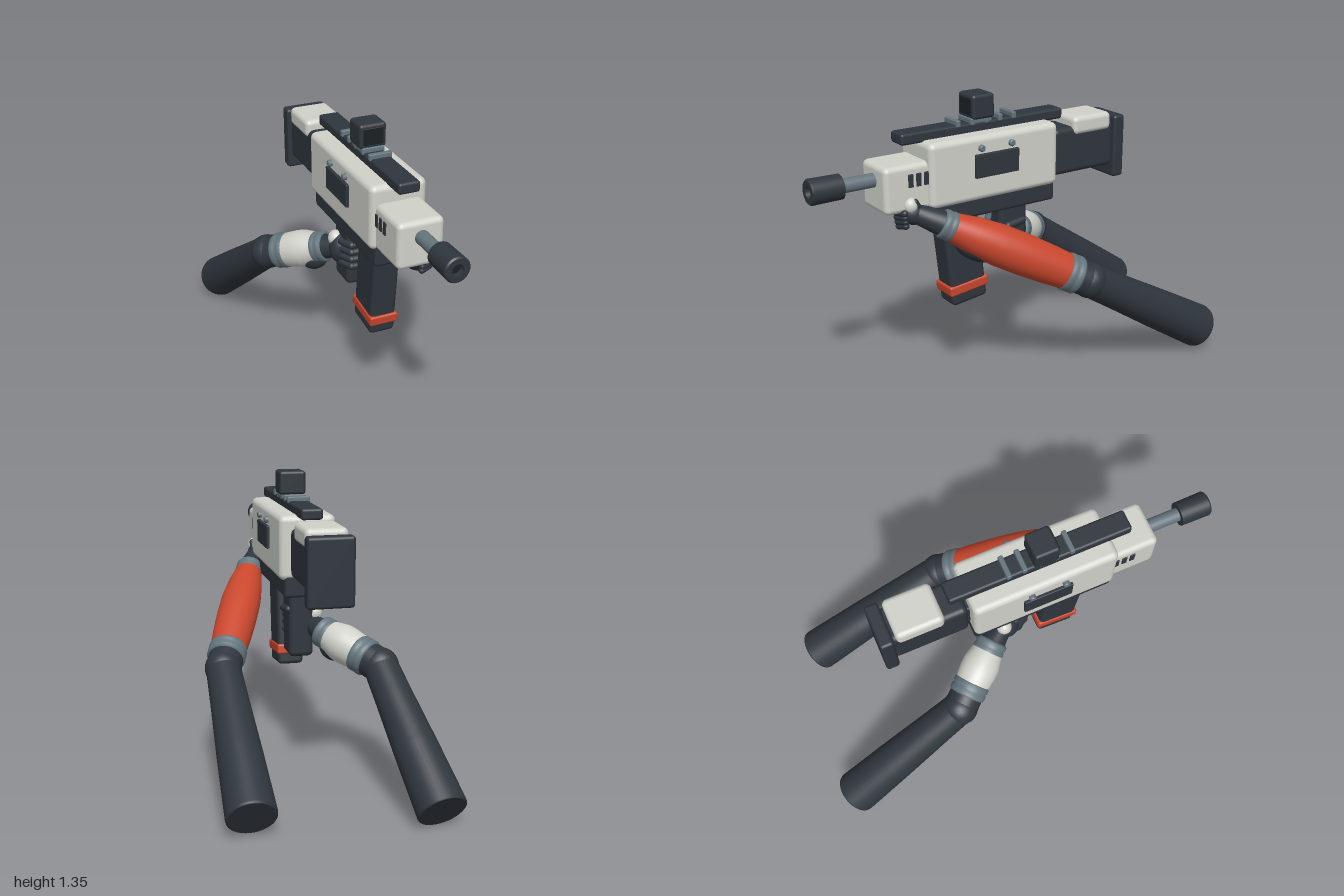
import * as THREE from 'three';
import { RoundedBoxGeometry } from 'three/addons/geometries/RoundedBoxGeometry.js';

const mat = (name, color) => {
  const m = new THREE.MeshStandardMaterial({ color });
  m.name = name;
  return m;
};
const V = (x, y, z) => new THREE.Vector3(x, y, z);
const UP = V(0, 1, 0);

export function createModel() {
  const root = new THREE.Group();
  root.name = 'rifleWithArms';
  const dark = mat('charcoal', 0x2f363d);
  const white = mat('offWhite', 0xd0d2ca);
  const red = mat('orangeRed', 0xc9472d);
  const steel = mat('steelGrey', 0x65757d);
  const black = mat('black', 0x1c2024);

  const add = (parent, name, geo, material) => {
    const m = new THREE.Mesh(geo, material);
    m.name = name;
    parent.add(m);
    return m;
  };
  // Rounded box given by its limits on each axis
  const box = (parent, name, material, [x0, x1], [y0, y1], [z0, z1], r = 0.02) => {
    const m = add(parent, name, new RoundedBoxGeometry(x1 - x0, y1 - y0, z1 - z0, 3, r), material);
    m.position.set((x0 + x1) / 2, (y0 + y1) / 2, (z0 + z1) / 2);
    return m;
  };
  // Turned shape from a to b; profile is [fraction along, radius]
  const limb = (parent, name, material, a, b, profile) => {
    const d = b.clone().sub(a), len = d.length();
    const pts = profile.map(([t, r]) => new THREE.Vector2(r, t * len));
    const m = add(parent, name, new THREE.LatheGeometry(pts, 36), material);
    m.position.copy(a);
    m.quaternion.setFromUnitVectors(UP, d.normalize());
    return m;
  };
  // Ellipsoid whose long axis follows dir
  const blob = (parent, name, material, p, r, half, dir = UP) => {
    const m = add(parent, name, new THREE.SphereGeometry(1, 24, 16), material);
    m.scale.set(r, half, r);
    m.position.copy(p);
    m.quaternion.setFromUnitVectors(UP, dir.clone().normalize());
    return m;
  };
  const capsule = (parent, name, material, a, b, r) => {
    const d = b.clone().sub(a);
    const m = add(parent, name, new THREE.CapsuleGeometry(r, d.length(), 6, 14), material);
    m.position.copy(a).add(b).multiplyScalar(0.5);
    m.quaternion.setFromUnitVectors(UP, d.normalize());
    return m;
  };

  // ---- Rifle ----
  const gun = new THREE.Group();
  gun.name = 'rifle';
  root.add(gun);
  const cx = -0.011;
  const wide = (w) => [cx - w / 2, cx + w / 2];
  box(gun, 'receiver', white, wide(0.256), [0.915, 1.205], [-0.17, 0.5], 0.028);
  box(gun, 'lowerReceiver', dark, wide(0.21), [0.835, 0.95], [-0.167, 0.5], 0.015);
  box(gun, 'handguard', white, wide(0.208), [0.92, 1.128], [0.42, 0.705], 0.025);
  const barrelAt = (z) => V(cx, 1.058, z);
  limb(gun, 'barrel', steel, barrelAt(0.65), barrelAt(0.88), [[0, 0.031], [1, 0.031]]);
  limb(gun, 'muzzle', dark, barrelAt(0.857), barrelAt(1),
    [[0, 0], [0, 0.054], [0, 0.054], [0.95, 0.056], [0.95, 0.056], [1, 0.05], [1, 0.05], [1, 0.026], [1, 0.026], [0.8, 0.024]]);
  limb(gun, 'bore', black, barrelAt(0.96), barrelAt(0.975), [[0, 0.025], [1, 0.025], [1, 0.025], [1, 0]]);

  // Top rail, cross slats and sight
  box(gun, 'topRail', dark, wide(0.097), [1.195, 1.245], [-0.25, 0.59], 0.012);
  for (let i = 0; i < 5; i++) {
    const z = 0.02 + i * 0.0725;
    box(gun, 'railSlat', steel, wide(0.105), [1.235, 1.265], [z - 0.011, z + 0.011], 0.005);
  }
  box(gun, 'sightMount', steel, wide(0.105), [1.24, 1.27], [0.14, 0.23], 0.006);
  box(gun, 'sight', dark, wide(0.124), [1.258, 1.367], [0.13, 0.243], 0.014);
  box(gun, 'sightLens', black, wide(0.092), [1.275, 1.35], [0.238, 0.246], 0.003);

  // Stock
  box(gun, 'stock', dark, wide(0.168), [0.935, 1.155], [-0.53, -0.18], 0.025);
  box(gun, 'stockNeck', dark, wide(0.13), [0.97, 1.12], [-0.22, -0.15], 0.01);
  box(gun, 'cheekRest', white, wide(0.188), [1.115, 1.2], [-0.507, -0.288], 0.024);
  box(gun, 'buttPad', dark, wide(0.205), [0.878, 1.178], [-0.582, -0.52], 0.014);

  // Leaning magazine with its band
  const mag = new THREE.Group();
  mag.name = 'magazine';
  mag.position.set(cx, 0.65, 0.292);
  mag.rotation.x = 0.11;
  gun.add(mag);
  box(mag, 'magazineBody', dark, [-0.061, 0.061], [-0.235, 0.24], [-0.092, 0.092], 0.02);
  box(mag, 'magazineBand', red, [-0.067, 0.067], [-0.182, -0.134], [-0.102, 0.102], 0.01);

  // Pistol grip and trigger
  box(gun, 'pistolGrip', dark, wide(0.115), [0.525, 0.85], [-0.05, 0.1], 0.025);
  const trigger = box(gun, 'trigger', steel, wide(0.03), [0.765, 0.845], [0.115, 0.138], 0.008);
  trigger.rotation.x = -0.15;

  // Mirrored side panels, bolts and vents
  for (const s of [1, -1]) {
    const span = (a, b) => (s > 0 ? [cx + a, cx + b] : [cx - b, cx - a]);
    box(gun, 'sidePanel', dark, span(0.12, 0.142), [1.022, 1.127], [0.055, 0.28], 0.004);
    for (const z of [0.09, 0.247]) {
      limb(gun, 'bolt', steel, V(cx + s * 0.12, 1.153, z), V(cx + s * 0.146, 1.153, z),
        [[0, 0.015], [0.8, 0.015], [0.8, 0.015], [1, 0.011], [1, 0.011], [1, 0]]);
    }
    for (const z of [0.507, 0.545, 0.583]) {
      box(gun, 'vent', dark, span(0.1, 0.109), [1.03, 1.088], [z - 0.012, z + 0.012], 0.003);
    }
  }

  // ---- Arms ----
  const cuffProfile = (r) => [[0, r * 0.8], [0.02, r * 0.93], [0.15, r], [0.4, r], [0.5, r * 0.93],
    [0.6, r], [0.85, r], [0.98, r * 0.93], [1, r * 0.8]];
  const arm = (name, sleeve, { wrist, elbow, end, hand, wristR, foreR, elbowR, pad }) => {
    const g = new THREE.Group();
    g.name = name;
    root.add(g);
    const dir = elbow.clone().sub(wrist), len = dir.length();
    dir.normalize();
    const at = (d) => wrist.clone().addScaledVector(dir, d);
    limb(g, 'glove', dark, hand, at(0.03), [[0, 0.04], [0.5, 0.05], [1, wristR * 0.9]]);
    limb(g, 'wristCuff', steel, wrist, at(0.065), cuffProfile(wristR));
    limb(g, 'forearm', sleeve, at(0.035), at(len - 0.1),
      [[0, wristR * 0.92], [0.2, foreR * 0.88], [0.4, foreR], [0.6, foreR], [0.8, foreR * 0.95], [1, elbowR * 0.92]]);
    blob(g, 'forearmPad', dark, at(len * pad[0]).add(pad[1]), pad[2], pad[3], dir);
    limb(g, 'elbowCuff', steel, at(len - 0.135), at(len - 0.06), cuffProfile(elbowR));
    limb(g, 'elbowSleeve', dark, at(len - 0.08), elbow, [[0, elbowR * 0.9], [1, 0.08]]);
    blob(g, 'elbow', dark, elbow, 0.083, 0.083);
    limb(g, 'upperArm', dark, elbow, end,
      [[0, 0.078], [0.25, 0.085], [0.6, 0.097], [0.985, 0.107], [0.996, 0.105], [1, 0.1], [1, 0.1], [1, 0]]);
    return g;
  };

  // Left arm holds the handguard from below
  const left = arm('leftArm', red, {
    wrist: V(0.133, 0.862, 0.465), elbow: V(0.375, 0.53, -0.16), end: V(0.38, 0.117, -0.855),
    hand: V(0.078, 0.915, 0.57), wristR: 0.066, foreR: 0.094, elbowR: 0.088,
    pad: [0.26, V(-0.018, -0.037, 0.012), 0.068, 0.11],
  });
  blob(left, 'palm', dark, V(0.075, 0.91, 0.57), 0.05, 0.058, V(0.3, -0.3, -0.6));
  blob(left, 'handPlate', white, V(0.088, 0.95, 0.585), 0.032, 0.036);
  for (let i = 0; i < 4; i++) {
    const y = 0.922 - i * 0.021, z = 0.618 - i * 0.004;
    capsule(left, 'finger', dark, V(0.095 - i * 0.005, y, z), V(0.04, y - 0.008, z + 0.012), 0.015);
  }
  capsule(left, 'thumb', dark, V(0.1, 0.93, 0.55), V(0.1, 0.965, 0.57), 0.015);

  // Right arm holds the pistol grip
  const right = arm('rightArm', white, {
    wrist: V(-0.098, 0.655, -0.075), elbow: V(-0.305, 0.545, -0.33), end: V(-0.385, 0.105, -0.94),
    hand: V(-0.055, 0.68, 0.01), wristR: 0.074, foreR: 0.088, elbowR: 0.086,
    pad: [0.28, V(0.012, -0.04, 0.022), 0.06, 0.07],
  });
  blob(right, 'palm', dark, V(-0.06, 0.68, 0.01), 0.058, 0.075);
  blob(right, 'handPlate', white, V(-0.08, 0.725, -0.01), 0.036, 0.04);
  for (let i = 0; i < 4; i++) {
    const y = 0.735 - i * 0.036;
    capsule(right, 'finger', dark, V(-0.075, y, 0.05), V(-0.05, y, 0.105), 0.018);
    capsule(right, 'fingertip', dark, V(-0.05, y, 0.105), V(0.03, y, 0.11), 0.017);
  }
  capsule(right, 'thumb', dark, V(0.045, 0.75, -0.02), V(0.05, 0.74, 0.06), 0.018);

  return root;
}
